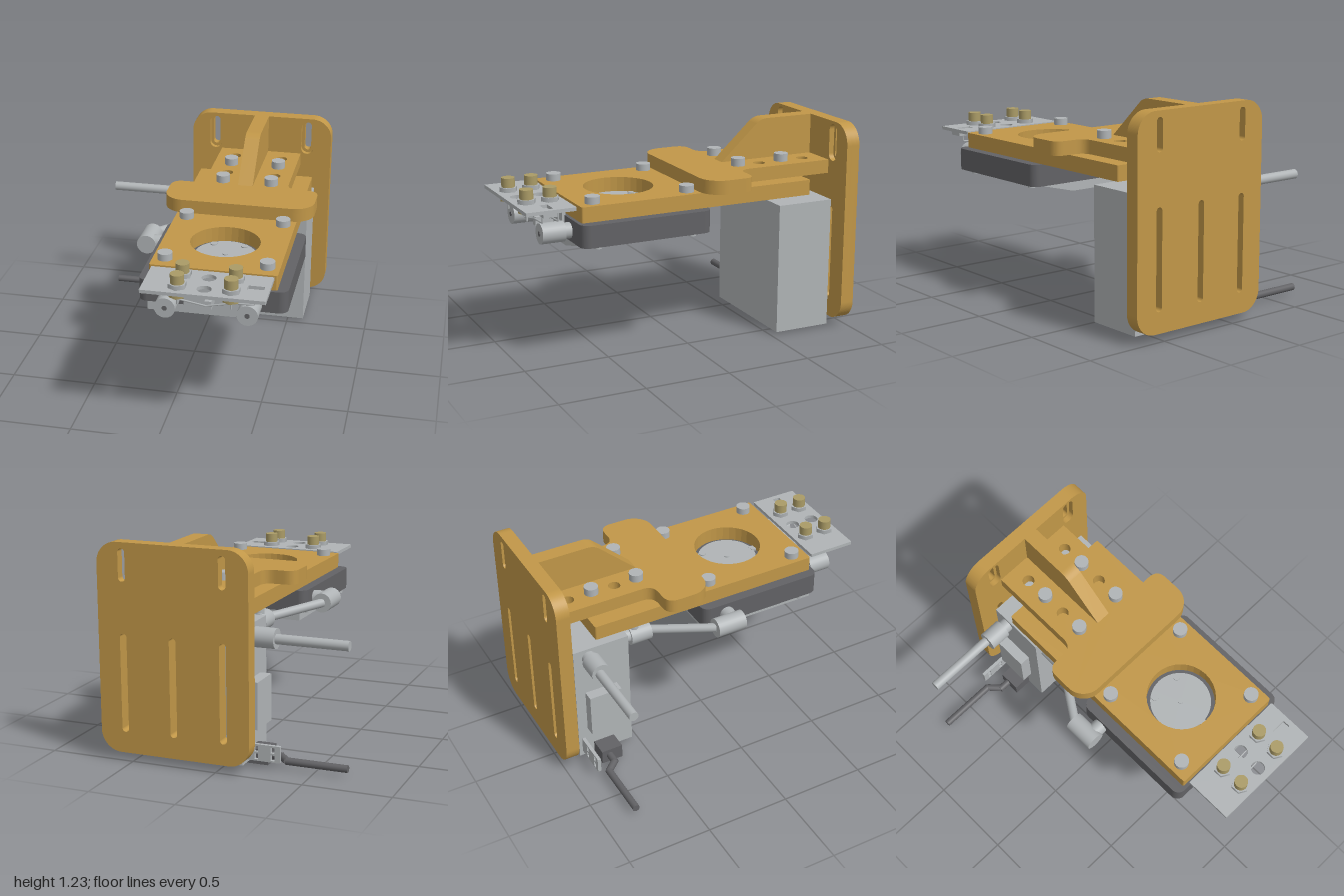
import * as THREE from 'three';

const mat = (name, color) => Object.assign(new THREE.MeshStandardMaterial({ color }), { name });
const gold = mat('gold', 0xc19748), grey = mat('light grey', 0xb0b4b6), dark = mat('dark grey', 0x626265);
const brass = mat('brass', 0xaa9b66), green = mat('board green', 0x20583a);
const CX = 0.245; // symmetry line of the bracket

export function createModel() {
  const model = new THREE.Group();
  const add = (name, geo, m) => {
    const mesh = new THREE.Mesh(geo, m);
    mesh.name = name;
    model.add(mesh);
    return mesh;
  };
  const box = (name, m, x0, x1, y0, y1, z0, z1) =>
    add(name, new THREE.BoxGeometry(x1 - x0, y1 - y0, z1 - z0)
      .translate((x0 + x1) / 2, (y0 + y1) / 2, (z0 + z1) / 2), m);
  // cylinder between two points
  const rod = (name, m, a, b, r, sides = 28) => {
    const p = new THREE.Vector3(...a), q = new THREE.Vector3(...b), d = q.clone().sub(p);
    const mesh = add(name, new THREE.CylinderGeometry(r, r, d.length(), sides), m);
    mesh.position.copy(p).add(q).multiplyScalar(0.5);
    mesh.quaternion.setFromUnitVectors(new THREE.Vector3(0, 1, 0), d.normalize());
    return mesh;
  };
  const post = (name, m, x, z, y0, y1, r, sides) => rod(name, m, [x, y0, z], [x, y1, z], r, sides);
  const rounded = (x0, x1, y0, y1, r, Type = THREE.Shape) => {
    const s = new Type();
    s.absarc(x1 - r, y0 + r, r, -Math.PI / 2, 0, false);
    s.absarc(x1 - r, y1 - r, r, 0, Math.PI / 2, false);
    s.absarc(x0 + r, y1 - r, r, Math.PI / 2, Math.PI, false);
    s.absarc(x0 + r, y0 + r, r, Math.PI, Math.PI * 1.5, false);
    s.closePath();
    return s;
  };
  const hole = (x, y, r) => new THREE.Path().absarc(x, y, r, 0, Math.PI * 2, true);
  const extrude = (shape, depth) =>
    new THREE.ExtrudeGeometry(shape, { depth, bevelEnabled: false, curveSegments: 16 });
  // horizontal slab drawn in x and z
  const slab = (name, m, shape, y0, y1) =>
    add(name, extrude(shape, y1 - y0).rotateX(Math.PI / 2).translate(0, y1, 0), m);

  // Upright mounting plate: a front layer with wider top slots gives the countersinks
  const upright = (name, topSlot, z0, z1) => {
    const s = rounded(-0.2, 0.69, 0.05, 1.235, 0.12);
    for (const x of [-0.05, CX, 0.54]) {
      s.holes.push(rounded(x - 0.02, x + 0.02, 0.17, 0.73, 0.0199, THREE.Path));
      if (x !== CX) s.holes.push(rounded(x - topSlot, x + topSlot, 1.11 - 0.07 - topSlot, 1.11 + 0.07 + topSlot, topSlot - 0.0001, THREE.Path));
    }
    add(name, extrude(s, z1 - z0).translate(0, 0, z0), gold);
  };
  upright('uprightPlateBack', 0.021, -1, -0.95);
  upright('uprightPlateFront', 0.039, -0.95, -0.918);

  // Arm with a wide rounded head
  const arm = new THREE.Shape();
  arm.moveTo(-0.01, -0.92);
  arm.lineTo(0.5, -0.92);
  arm.lineTo(0.5, -0.39);
  arm.quadraticCurveTo(0.5, -0.32, 0.57, -0.32);
  arm.lineTo(0.62, -0.32);
  arm.quadraticCurveTo(0.69, -0.32, 0.69, -0.25);
  arm.lineTo(0.69, -0.15);
  arm.absarc(0.57, -0.15, 0.12, 0, Math.PI / 2, false);
  arm.lineTo(-0.08, -0.03);
  arm.absarc(-0.08, -0.15, 0.12, Math.PI / 2, Math.PI, false);
  arm.lineTo(-0.2, -0.25);
  arm.quadraticCurveTo(-0.2, -0.32, -0.13, -0.32);
  arm.lineTo(-0.08, -0.32);
  arm.quadraticCurveTo(-0.01, -0.32, -0.01, -0.39);
  for (const x of [0.1, 0.395]) for (const z of [-0.8, -0.51]) arm.holes.push(hole(x, z, 0.035));
  slab('arm', gold, arm, 0.92, 1.0);

  // Gusset rib
  const rib = new THREE.Shape();
  rib.moveTo(0.919, 0.999);
  rib.lineTo(0.32, 0.999);
  rib.lineTo(0.55, 1.21);
  rib.quadraticCurveTo(0.58, 1.235, 0.62, 1.235);
  rib.lineTo(0.919, 1.235);
  add('gussetRib', extrude(rib, 0.09).rotateY(Math.PI / 2).translate(0.2, 0, 0), gold);

  // Lower plate with round window
  const plate = rounded(-0.11, 0.6, -0.735, 0.69, 0.01);
  plate.holes.push(hole(CX, 0.32, 0.2));
  slab('lowerPlate', gold, plate, 0.832, 0.92);

  // Head body under the plate and its disc
  slab('housing', dark, rounded(-0.17, 0.66, -0.07, 0.71, 0.05), 0.705, 0.832);
  post('disc', grey, CX, 0.32, 0.83, 0.842, 0.177, 48);
  for (const [x, z, r] of [[CX, 0.32, 0.016], [0.155, 0.2, 0.02], [0.335, 0.2, 0.02]])
    post('discPin', grey, x, z, 0.84, 0.848, r);
  box('discKey', grey, 0.225, 0.265, 0.83, 0.845, 0.485, 0.515);

  // Wedge frame on the underside, around a shallow pocket
  const wedge = (z0, z1) => {
    const s = new THREE.Shape();
    s.moveTo(-0.12, 0.706);
    s.lineTo(-0.12, 0.645);
    s.lineTo(0.36, 0.645);
    s.lineTo(0.58, 0.7);
    s.lineTo(0.58, 0.706);
    add('undersideWedge', extrude(s, z1 - z0).translate(0, 0, z0), grey);
  };
  wedge(-0.04, 0.07);
  wedge(0.53, 0.69);
  box('undersideBar', grey, -0.12, 0, 0.645, 0.706, 0.07, 0.53);
  box('pocketFloor', grey, 0, 0.56, 0.69, 0.706, 0.07, 0.53);
  for (const x of [-0.145, 0.605]) for (const z of [0.03, 0.6])
    post('undersideScrew', grey, x, z, 0.685, 0.706, 0.022);

  // Plate screws, arm bolts and nuts
  for (const x of [-0.04, 0.53]) for (const z of [0.03, 0.6])
    post('plateScrew', grey, x, z, 0.91, 0.96, 0.042);
  for (const x of [0.1, 0.395]) for (const z of [-0.655, -0.37]) {
    post('armBolt', grey, x, z, 0.99, 1.045, 0.041);
    post('armNut', grey, x, z, 0.795, 0.835, 0.045, 6);
  }

  // Front terminal plate with brass studs
  const terminal = rounded(-0.09, 0.585, 0.712, 1.0, 0.004);
  for (const z of [0.79, 0.925]) terminal.holes.push(hole(CX, z, 0.04));
  terminal.holes.push(rounded(0.465, 0.555, 0.835, 0.88, 0.004, THREE.Path));
  slab('terminalPlate', grey, terminal, 0.902, 0.922);
  for (const x of [0.1, 0.39]) for (const z of [0.79, 0.925]) {
    post('studNut', grey, x, z, 0.92, 0.947, 0.052, 6);
    post('stud', brass, x, z, 0.945, 1.0, 0.038);
    post('studFoot', brass, x, z, 0.868, 0.903, 0.048, 6);
    post('studPin', grey, x, z, 0.82, 0.87, 0.006, 8);
  }
  for (const z of [0.79, 0.925]) {
    const path = new THREE.CurvePath();
    const pts = [[0.1, 0.825], [CX, 0.8], [0.39, 0.83], [0.51, 0.835], [0.51, 0.9]].map(([x, y]) => new THREE.Vector3(x, y, z > 0.9 ? 0.88 : z));
    for (let i = 1; i < pts.length; i++) path.add(new THREE.LineCurve3(pts[i - 1], pts[i]));
    add('contactWire', new THREE.TubeGeometry(path, 40, 0.005, 6), grey);
  }
  box('sensorBlock', grey, 0.44, 0.575, 0.88, 0.903, 0.82, 0.9);

  // Front panel and hose fittings
  box('frontPanel', grey, 0.09, 0.4, 0.71, 0.9, 0.705, 0.724);
  box('frontTab', grey, 0.228, 0.265, 0.75, 0.8, 0.72, 0.83);
  for (const x of [0.14, 0.35]) post('frontPort', grey, x, 0.725, 0, 0.01, 0.03)
    .rotation.set(Math.PI / 2, 0, 0);
  model.children.filter(c => c.name === 'frontPort').forEach(c => { c.position.y = 0.767; });
  for (const x of [0.02, 0.47]) {
    rod('frontFittingNeck', grey, [x, 0.765, 0.7], [x, 0.765, 0.76], 0.045);
    rod('frontFitting', grey, [x, 0.765, 0.75], [x, 0.765, 0.885], 0.058);
    rod('fittingBore', dark, [x, 0.765, 0.88], [x, 0.765, 0.888], 0.014);
  }

  // Side hose running back to the box
  rod('sideFitting', grey, [-0.263, 0.765, -0.05], [-0.263, 0.765, 0.13], 0.057);
  rod('sideFittingNeck', grey, [-0.26, 0.765, 0.08], [-0.165, 0.765, 0.08], 0.045);
  rod('hose', grey, [-0.263, 0.765, -0.04], [-0.04, 0.73, -0.38], 0.026);
  rod('hoseFitting', grey, [-0.04, 0.728, -0.37], [-0.04, 0.728, -0.5], 0.057);
  rod('hoseFittingNeck', grey, [-0.04, 0.735, -0.49], [-0.04, 0.735, -0.54], 0.042);
  post('hoseFittingScrew', grey, -0.04, -0.465, 0.77, 0.805, 0.03);

  // Supply box with circuit board underneath
  box('supplyBox', grey, -0.11, 0.6, 0.04, 0.787, -0.88, -0.535);
  for (const x of [-0.11, 0.585]) box('boxRim', grey, x, x + 0.015, 0.018, 0.04, -0.88, -0.535);
  for (const z of [-0.88, -0.55]) box('boxRim', grey, -0.11, 0.6, 0.018, 0.04, z, z + 0.015);
  box('circuitBoard', green, -0.095, 0.585, 0.026, 0.04, -0.865, -0.55);
  box('chip', grey, 0.2, 0.29, 0.016, 0.03, -0.75, -0.66);
  for (const x of [-0.06, 0.55]) for (const z of [-0.83, -0.585])
    post('boardScrew', grey, x, z, 0.018, 0.03, 0.022);
  box('sideCover', grey, -0.175, -0.109, 0.21, 0.48, -0.82, -0.62);
  box('rearCatch', grey, -0.04, 0.01, 0.09, 0.16, -0.9, -0.879);

  // Slotted cable bracket
  const bracket = rounded(-0.32, -0.1, 0.05, 0.145, 0.003);
  for (const x of [-0.277, -0.182]) for (const y of [0.075, 0.118])
    bracket.holes.push(rounded(x - 0.011, x + 0.011, y - 0.016, y + 0.016, 0.002, THREE.Path));
  add('cableBracket', extrude(bracket, 0.02).translate(0, 0, -0.86), grey);

  // Upper cable and lower cable with its plug
  rod('upperCable', grey, [-0.69, 0.728, -0.793], [-0.25, 0.728, -0.793], 0.028);
  rod('upperCableFitting', grey, [-0.275, 0.728, -0.785], [-0.15, 0.728, -0.785], 0.057);
  rod('upperCableNeck', grey, [-0.16, 0.728, -0.785], [-0.1, 0.728, -0.785], 0.042);
  box('plug', dark, -0.22, -0.09, 0.003, 0.09, -0.785, -0.655);
  rod('lowerCable', dark, [-0.69, 0.048, -0.8], [-0.335, 0.048, -0.8], 0.021);
  rod('lowerCableBend', dark, [-0.34, 0.048, -0.8], [-0.28, 0.048, -0.735], 0.021);
  rod('lowerCableEnd', dark, [-0.29, 0.048, -0.735], [-0.21, 0.048, -0.735], 0.021);

  return model;
}
